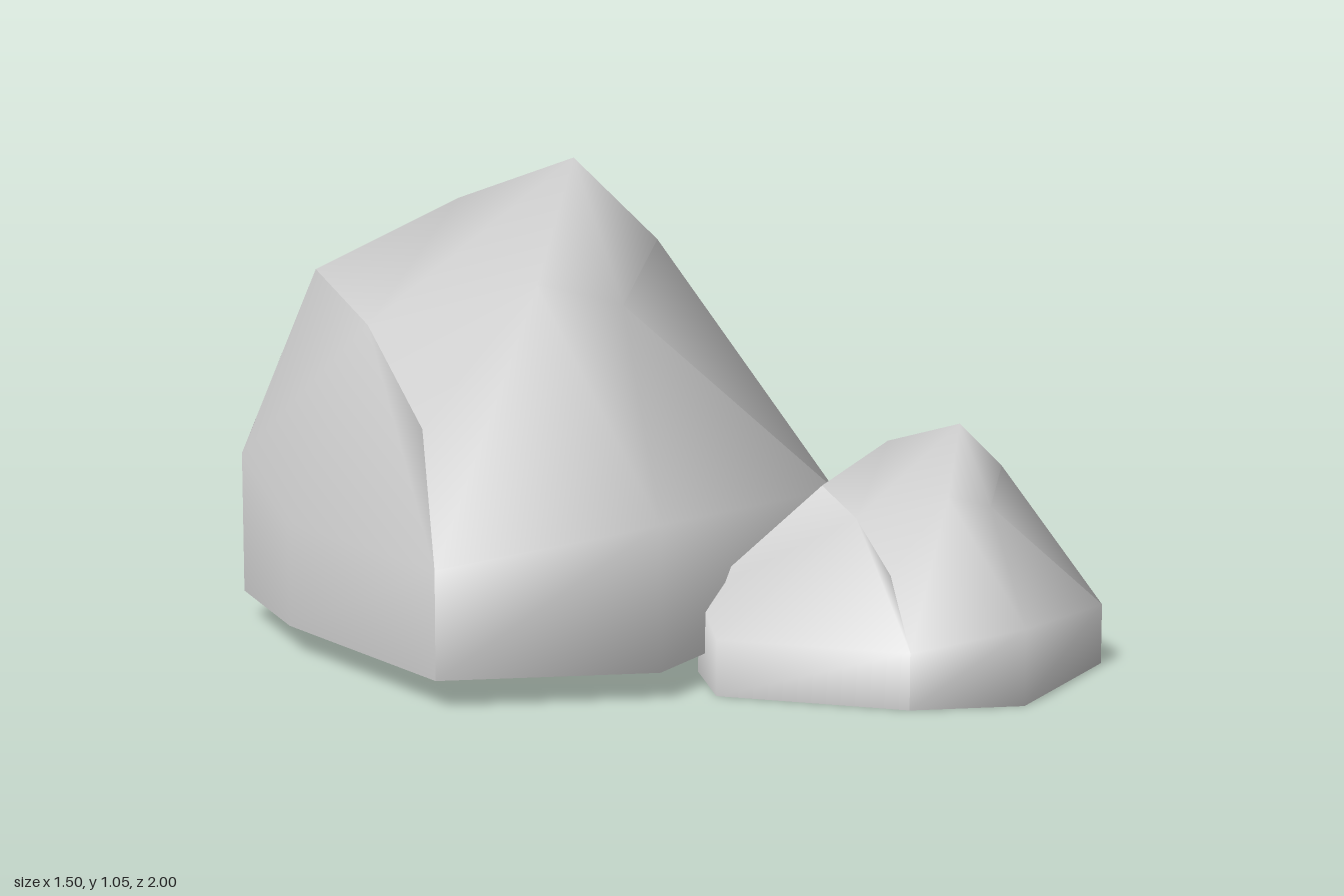
import * as THREE from 'three';
import { mergeGeometries } from 'three/addons/utils/BufferGeometryUtils.js';

// One boulder: a distorted cube with a crown rim, a waist and a foot of eight corners each.
// Apex at x 0, z 0 and base at y 0. left holds the x of three waist corners on the left flank.
function boulder(name, left, scale, position) {
  const [ax, hx, gx] = left;

  // Crown rim, from the middle of the back round by +x
  const rim = [
    [-0.07, 0.87, -0.39],
    [0.15, 0.64, -0.39],
    [0.23, 0.79, 0],
    [-0.02, 0.68, 0.23],
    [-0.245, 0.74, 0.23],
    [-0.54, 0.45, 0.23],
    [-0.54, 0.65, 0],
    [-0.54, 0.75, -0.23],
  ];
  // Waist in the same order
  const waist = [
    [ax, 0.34, -0.73],
    [0.11, 0.30, -0.67],
    [0.62, 0.21, -0.11],
    [0.42, 0.25, 0.43],
    [-0.32, 0.31, 0.81],
    [-0.74, 0.23, 0.61],
    [gx, 0.23, -0.01],
    [hx, 0.32, -0.39],
  ];
  // Foot: straight below the waist, drawn in at the back
  const foot = waist.map(([x, , z]) => [x, 0, z < -0.5 ? z + 0.155 : z]);
  const points = [[0, 0.99, 0], ...rim, ...waist, ...foot].flat();

  const quad = (a, b, c, d) => [a, b, c, a, c, d];

  // Two columns of one flank, starting at corner i
  const flank = (i) => [i, (i + 1) % 8].flatMap((n) => {
    const m = (n + 1) % 8;
    const upper = n === 5
      ? quad(1 + m, 9 + m, 9 + n, 1 + n)
      : quad(1 + n, 1 + m, 9 + m, 9 + n);
    return [...upper, ...quad(9 + n, 9 + m, 17 + m, 17 + n)];
  });

  const top = [
    [0, 3, 1], [0, 4, 3], [0, 5, 4], [0, 7, 5], [0, 1, 7],
    [3, 2, 1], [7, 6, 5], [1, 8, 7],
  ].flat();
  const base = [18, 19, 20, 21, 22, 23].flatMap((n) => [17, n, n + 1]);

  // Smooth inside each side, sharp between them: top with front, right, left, back, base
  const sides = [[...top, ...flank(3)], flank(1), flank(5), flank(7), base];
  const geometry = mergeGeometries(sides.map((index) => {
    const side = new THREE.BufferGeometry();
    side.setAttribute('position', new THREE.Float32BufferAttribute(points, 3));
    side.setIndex(index);
    side.computeVertexNormals();
    return side.toNonIndexed();
  }));

  const mesh = new THREE.Mesh(geometry, new THREE.MeshStandardMaterial({ color: 0xcccccc }));
  mesh.name = name;
  mesh.scale.setScalar(scale);
  mesh.position.set(...position);
  return mesh;
}

export function createModel() {
  const group = new THREE.Group();
  group.name = 'rocks';
  group.add(
    boulder('largeRock', [-0.43, -0.65, -0.74], 1, [-0.01, 0.06, -0.27]),
    boulder('smallRock', [-0.63, -1.05, -1.23], 0.52, [0.43, 0, 0.575]),
  );
  return group;
}
